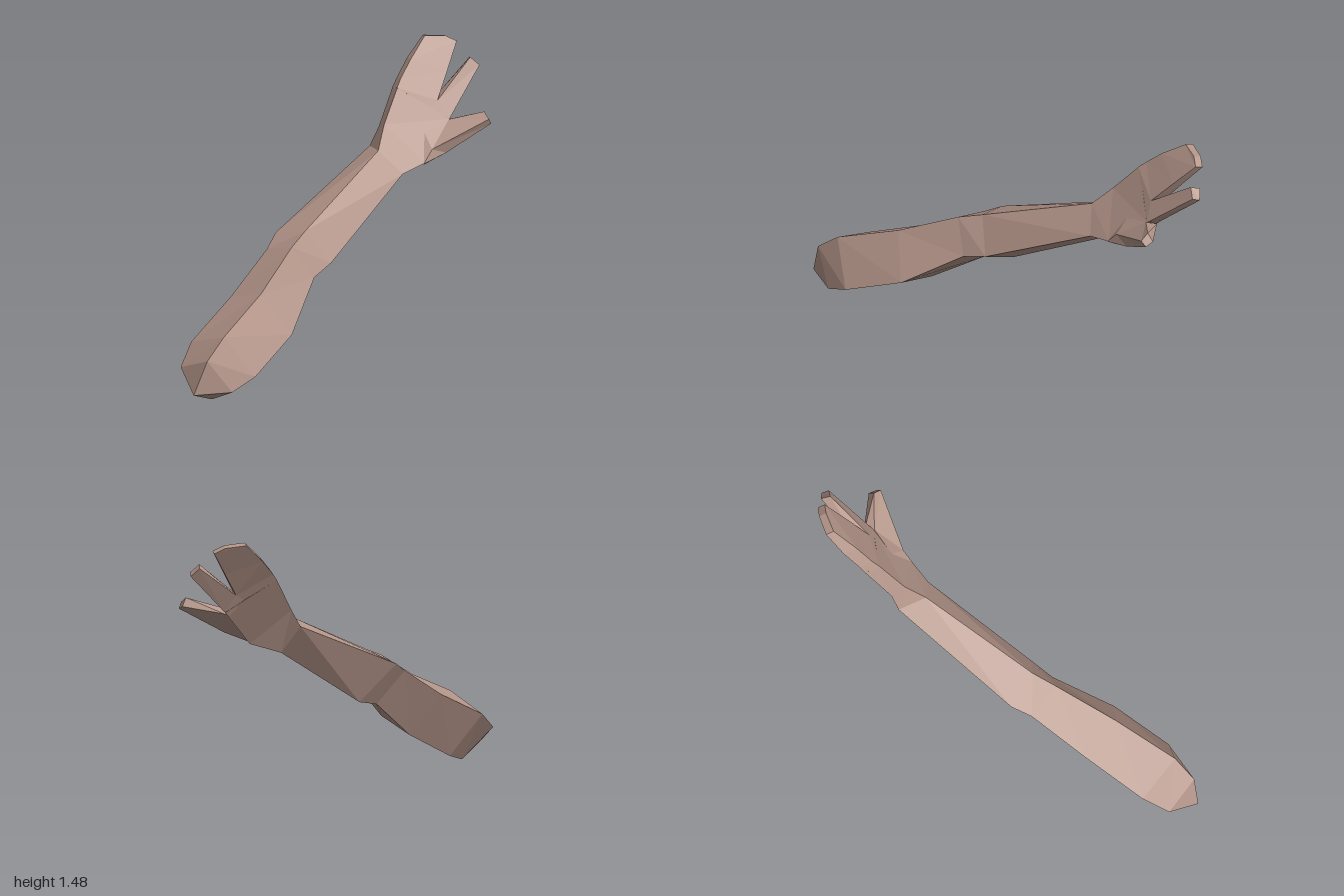
import * as THREE from 'three';

// Skin a run of four-cornered sections: upper front, lower front, lower back, upper back
function limb(name, sections, material) {
  const pos = [];
  const quad = (a, b, c, d) => pos.push(...a, ...b, ...c, ...a, ...c, ...d);
  for (let i = 0; i < sections.length - 1; i++) {
    const s = sections[i], e = sections[i + 1];
    for (let j = 0; j < 4; j++) {
      const k = (j + 1) % 4;
      quad(s[j], s[k], e[k], e[j]);
    }
  }
  const first = sections[0], last = sections[sections.length - 1];
  quad(first[3], first[2], first[1], first[0]);
  quad(last[0], last[1], last[2], last[3]);
  const geometry = new THREE.BufferGeometry();
  geometry.setAttribute('position', new THREE.Float32BufferAttribute(pos, 3));
  geometry.computeVertexNormals();
  const mesh = new THREE.Mesh(geometry, material);
  mesh.name = name;
  return mesh;
}

export function createModel() {
  const group = new THREE.Group();
  group.name = 'arm';
  const skin = new THREE.MeshStandardMaterial({ color: 0xb5968a });
  skin.name = 'skin';
  skin.flatShading = true;

  const tip = [-0.975, 0.075, 0.752];
  const wrist = [[0.34, 0.99, -0.32], [0.46, 0.865, -0.26], [0.42, 0.81, -0.39], [0.335, 0.965, -0.48]];

  // Upper arm, elbow and forearm
  group.add(limb('upperArmAndForearm', [
    [tip, tip, tip, tip],
    [[-0.9, 0.265, 0.757], [-0.76, 0.075, 0.757], [-0.84, 0, 0.63], [-1, 0.18, 0.575]],
    [[-0.79, 0.37, 0.69], [-0.62, 0.138, 0.715], [-0.74, 0.045, 0.5], [-0.91, 0.275, 0.455]],
    [[-0.52, 0.51, 0.45], [-0.36, 0.28, 0.5], [-0.46, 0.21, 0.275], [-0.63, 0.43, 0.23]],
    [[-0.28, 0.672, 0.2], [-0.16, 0.495, 0.22], [-0.22, 0.427, 0.05], [-0.37, 0.61, 0.02]],
    [[-0.18, 0.72, 0.1], [-0.045, 0.54, 0.14], [-0.1, 0.46, -0.05], [-0.3, 0.665, -0.07]],
    wrist,
  ], skin));

  // Palm
  group.add(limb('palm', [
    wrist,
    [[0.4, 1.1, -0.42], [0.6, 0.9, -0.31], [0.6, 0.87, -0.41], [0.39, 1.06, -0.5]],
    [[0.505, 1.27, -0.53], [0.77, 1.085, -0.46], [0.77, 1.07, -0.54], [0.5, 1.25, -0.61]],
  ], skin));

  // Joined fingers
  group.add(limb('joinedFingers', [
    [[0.5, 1.265, -0.525], [0.67, 1.15, -0.485], [0.67, 1.14, -0.565], [0.497, 1.245, -0.607]],
    [[0.53, 1.305, -0.56], [0.72, 1.18, -0.505], [0.72, 1.17, -0.585], [0.525, 1.285, -0.63]],
    [[0.6, 1.385, -0.62], [0.8, 1.31, -0.6], [0.8, 1.3, -0.66], [0.6, 1.37, -0.695]],
    [[0.705, 1.48, -0.715], [0.88, 1.44, -0.7], [0.88, 1.43, -0.74], [0.705, 1.47, -0.758]],
    [[0.712, 1.48, -0.715], [0.82, 1.47, -0.715], [0.82, 1.46, -0.755], [0.712, 1.47, -0.758]],
  ], skin));

  // Slim finger
  group.add(limb('slimFinger', [
    [[0.67, 1.15, -0.485], [0.74, 1.06, -0.45], [0.74, 1.05, -0.53], [0.67, 1.14, -0.565]],
    [[0.72, 1.18, -0.505], [0.775, 1.085, -0.46], [0.775, 1.075, -0.54], [0.72, 1.17, -0.58]],
    [[0.94, 1.36, -0.645], [0.99, 1.315, -0.635], [0.995, 1.3, -0.675], [0.95, 1.345, -0.695]],
  ], skin));

  // Thumb
  group.add(limb('thumb', [
    [[0.62, 1.04, -0.41], [0.59, 0.895, -0.305], [0.6, 0.875, -0.35], [0.62, 1.0, -0.46]],
    [[0.77, 1.085, -0.455], [0.645, 0.965, -0.335], [0.73, 0.93, -0.36], [0.77, 1.06, -0.52]],
    [[0.95, 1.135, -0.39], [0.965, 1.105, -0.345], [0.983, 1.072, -0.365], [0.975, 1.09, -0.41]],
  ], skin));

  return group;
}
